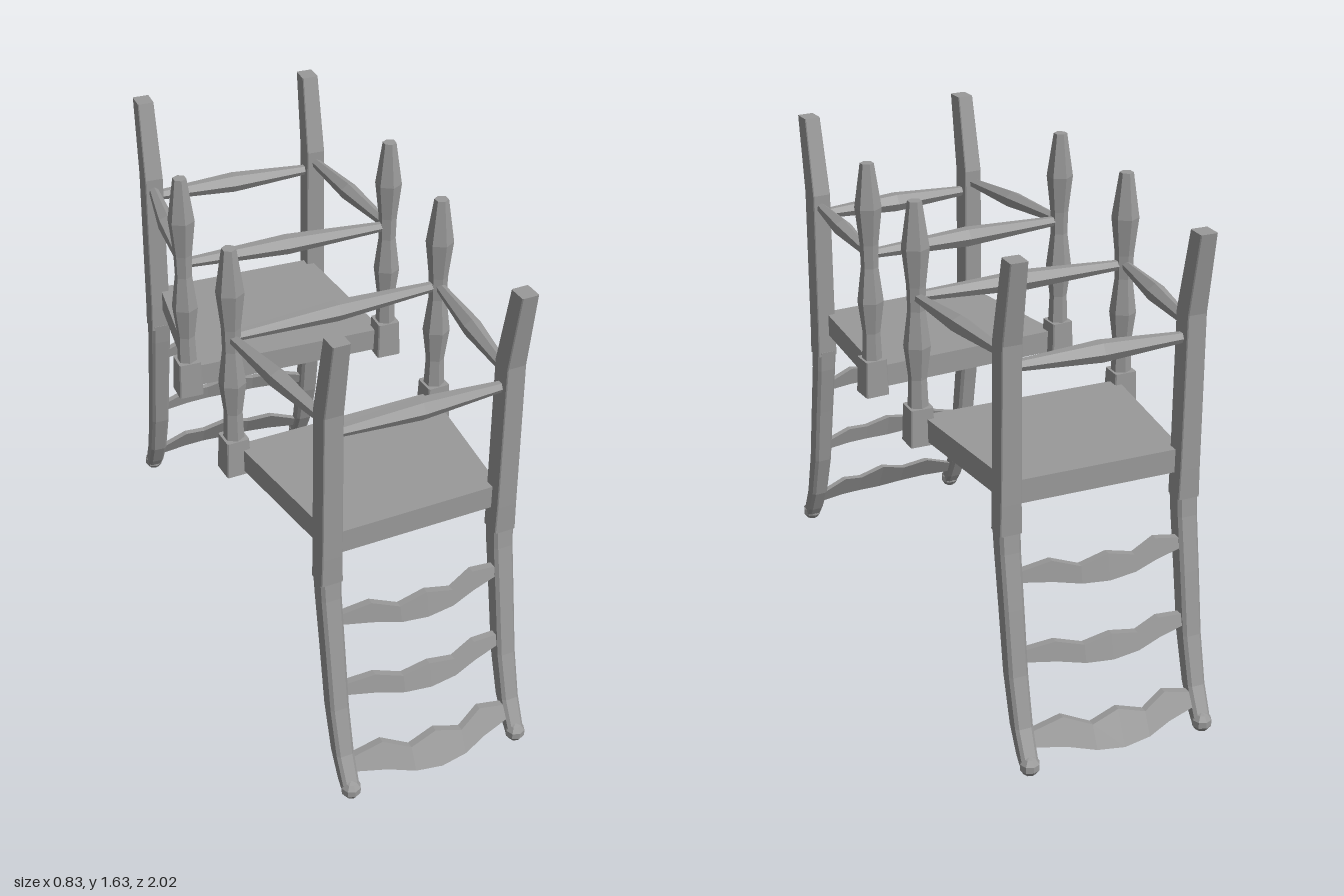
import * as THREE from 'three';

const wood = new THREE.MeshStandardMaterial({ color: 0x999999, flatShading: true });
wood.name = 'grey wood';

function part(name, geometry) {
  const mesh = new THREE.Mesh(geometry, wood);
  mesh.name = name;
  return mesh;
}

// Closed solid through matching rings, each counterclockwise about the path
function loft(rings) {
  const n = rings[0].length;
  const index = [];
  for (let i = 0; i < rings.length - 1; i++) {
    for (let j = 0; j < n; j++) {
      const k = (j + 1) % n;
      const a = i * n + j, b = i * n + k, c = b + n, d = a + n;
      index.push(a, b, c, a, c, d);
    }
  }
  const last = (rings.length - 1) * n;
  for (let j = 1; j < n - 1; j++) {
    index.push(0, j + 1, j, last, last + j, last + j + 1);
  }
  const g = new THREE.BufferGeometry();
  g.setAttribute('position', new THREE.Float32BufferAttribute(rings.flat(2), 3));
  g.setIndex(index);
  const flat = g.toNonIndexed();
  flat.computeVertexNormals();
  return flat;
}

// Horizontal rectangle with cut corners
function section(y, z, hx, hz, cut) {
  const a = hx - cut, b = hz - cut;
  return [[-a, hz], [a, hz], [hx, b], [hx, -b], [a, -hz], [-a, -hz], [-hx, -b], [-hx, b]]
    .map(([x, w]) => [x, y, z + w]);
}

function lathe(profile, sides) {
  return new THREE.LatheGeometry(profile.map(([r, y]) => new THREE.Vector2(r, y)), sides);
}

// Spindle, thick in the middle, between two points
function spindle(name, from, to, mid) {
  const a = new THREE.Vector3(...from), b = new THREE.Vector3(...to);
  const dir = b.clone().sub(a), len = dir.length();
  const mesh = part(name, lathe([[0, 0], [0.016, 0], [mid, len / 2], [0.016, len], [0, len]], 6));
  mesh.quaternion.setFromUnitVectors(new THREE.Vector3(0, 1, 0), dir.normalize());
  mesh.position.copy(a);
  return mesh;
}

// Wavy ladder slat, bowed backwards and leaning with the post
function slat(name, y, z, wave, height, lean) {
  const half = 0.285, t = 0.012;
  const stations = [[-1, 0, 0.4, 0], [-0.62, 1, 0.55, 0.5], [-0.32, 0.2, 0.85, 0.9], [0, 1, 1, 1],
    [0.32, 0.2, 0.85, 0.9], [0.62, 1, 0.55, 0.5], [1, 0, 0.4, 0]];
  return part(name, loft(stations.map(([s, up, down, bow]) => {
    const top = wave * (up - 0.5) + height * 0.4, bottom = -height * 0.6 * down;
    const w = z + 0.055 * bow;
    return [[top, -t], [top, t], [bottom, t], [bottom, -t]]
      .map(([dy, dz]) => [s * half, y + dy, w + dz - dy * lean]);
  })));
}

// One upturned ladder-back chair; local +z is its back
function makeChair(name) {
  const chair = new THREE.Group();
  chair.name = name;
  const legX = 0.362, postX = 0.301, postZ = 0.552;

  // Tapered seat panel
  const outline = y => [[-0.35, y, 0], [-0.29, y, 0.55], [0.29, y, 0.55], [0.35, y, 0]];
  chair.add(part('seat', loft([outline(0.84), outline(0.918)])));

  for (const side of [-1, 1]) {
    const label = side > 0 ? 'left' : 'right';

    // Turned front leg on a square block
    const block = part(label + 'LegBlock', loft([
      section(0.828, 0, 0.042, 0.042, 0.004),
      section(0.955, 0, 0.038, 0.038, 0.004)]));
    const leg = part(label + 'FrontLeg', lathe([[0, 0.9], [0.036, 0.9], [0.03, 1.05], [0.044, 1.16],
      [0.029, 1.28], [0.031, 1.36], [0.045, 1.485], [0.023, 1.635], [0, 1.635]], 6));
    block.position.x = leg.position.x = side * legX;

    // Square upper post with a bent end
    const post = part(label + 'BackLeg', loft([
      section(0.76, postZ, 0.036, 0.035, 0.003),
      section(0.86, postZ, 0.034, 0.036, 0.003),
      section(1.37, postZ, 0.032, 0.037, 0.003),
      section(1.635, 0.603, 0.028, 0.032, 0.003)]));

    // Curved lower post
    const curve = [[0.03, 0.726, 0.026], [0.06, 0.708, 0.028], [0.145, 0.666, 0.03], [0.306, 0.622, 0.032],
      [0.52, 0.588, 0.033], [0.7, 0.558, 0.034], [0.775, 0.55, 0.035]];
    const back = part(label + 'BackPost', loft(curve.map(([y, z, r]) => section(y, z, r, r, 0.01))));

    // Small knob at the end of the post
    const knob = part(label + 'PostKnob', new THREE.SphereGeometry(0.034, 8, 5));
    knob.position.set(0, 0.034, 0.73);
    for (const m of [post, back, knob]) m.position.x = side * postX;

    chair.add(block, leg, post, back, knob,
      spindle(label + 'Stretcher', [side * legX, 1.325, 0.01], [side * postX, 1.325, 0.54], 0.032));
  }

  chair.add(
    spindle('frontStretcher', [-legX, 1.325, 0], [legX, 1.325, 0], 0.034),
    spindle('backStretcher', [-postX, 1.29, postZ], [postX, 1.29, postZ], 0.035),
    slat('upperSlat', 0.615, 0.578, 0.03, 0.07, 0.2),
    slat('middleSlat', 0.357, 0.615, 0.022, 0.07, 0.25),
    slat('lowerSlat', 0.105, 0.69, 0.035, 0.09, 0.5));
  return chair;
}

export function createModel() {
  const model = new THREE.Group();
  model.name = 'upturnedChairs';
  const front = makeChair('frontChair');
  front.position.set(-0.008, 0, 0.22);
  front.rotation.y = 0.055;
  const rear = makeChair('rearChair');
  rear.position.set(0.0075, 0, -0.2355);
  rear.rotation.y = Math.PI - 0.03;
  model.add(front, rear);
  return model;
}
